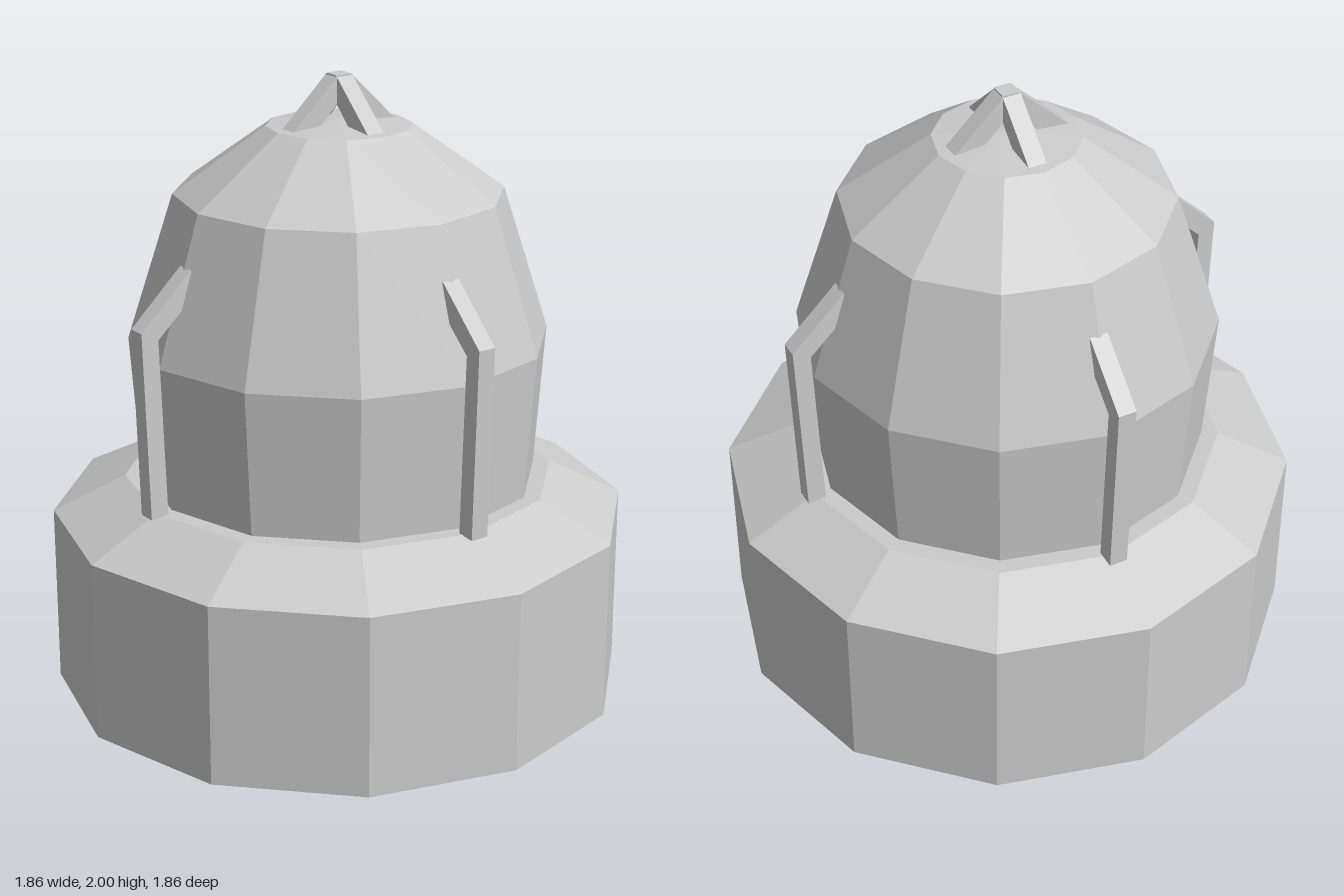
import * as THREE from 'three';

const material = new THREE.MeshStandardMaterial({ color: 0xcccccc, flatShading: true });
const toPoints = (list) => list.map(([x, y]) => new THREE.Vector2(x, y));

// Twelve-sided turned body from a [radius, height] profile
function turned(name, profile) {
  const mesh = new THREE.Mesh(new THREE.LatheGeometry(toPoints(profile), 12), material);
  mesh.name = name;
  return mesh;
}

// Four copies of a flat bar, set around the vertical axis
function fourBars(name, outline, width) {
  const geometry = new THREE.ExtrudeGeometry(new THREE.Shape(toPoints(outline)), {
    depth: width, bevelEnabled: false,
  });
  geometry.translate(0, 0, -width / 2);
  const group = new THREE.Group();
  group.name = name + 's';
  for (let i = 0; i < 4; i++) {
    const bar = new THREE.Mesh(geometry, material);
    bar.name = name;
    bar.rotation.y = (i * Math.PI) / 2;
    group.add(bar);
  }
  return group;
}

export function createModel() {
  const model = new THREE.Group();
  model.name = 'domedCapsule';

  // Wide drum with a sloped shoulder
  model.add(turned('base', [[0, 0], [0.93, 0], [0.93, 0.585], [0.695, 0.7], [0, 0.7]]));

  // Faceted dome, widest a little above the base
  model.add(turned('dome', [
    [0.64, 0.7], [0.672, 1.165], [0.523, 1.63], [0.23, 1.84], [0, 1.86],
  ]));

  // Bent handrails running from the shoulder into the dome
  model.add(fourBars('sideRail', [
    [0.67, 0.7], [0.73, 0.695], [0.748, 1.3], [0.57, 1.47], [0.565, 1.385], [0.69, 1.27],
  ], 0.06));

  // Sloping struts meeting at the peak
  model.add(fourBars('topStrut', [
    [0, 1.94], [0.095, 1.845], [0.195, 1.84], [0.025, 2], [0, 2],
  ], 0.06));

  return model;
}
